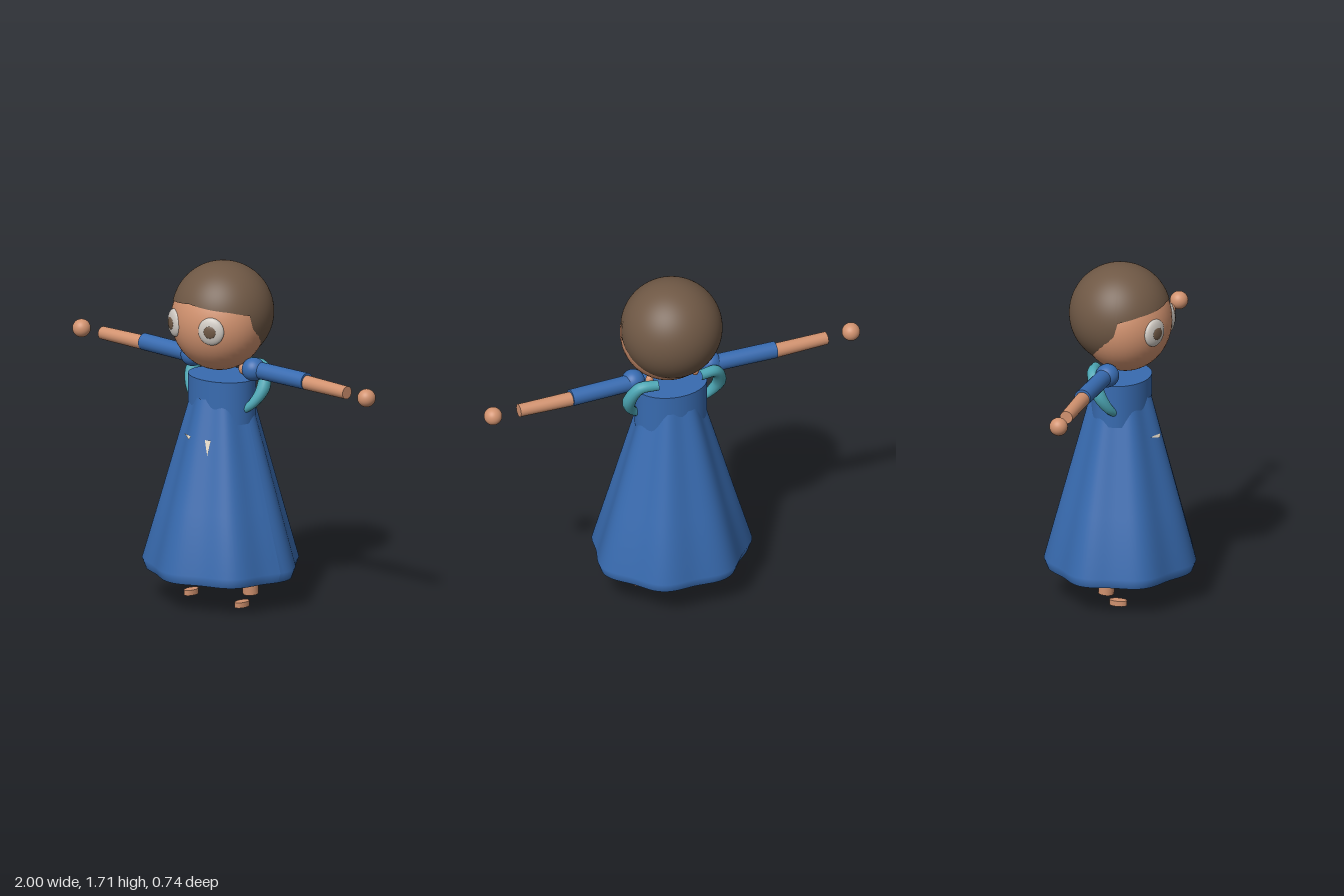
import * as THREE from 'three';

const mat = (name, color, side = THREE.FrontSide) => {
  const m = new THREE.MeshStandardMaterial({ color, side });
  m.name = name;
  return m;
};

// Rod between two points with its own end radii
function rod(a, b, ra, rb, material, seg = 24) {
  const A = new THREE.Vector3(...a), B = new THREE.Vector3(...b);
  const d = B.clone().sub(A);
  const mesh = new THREE.Mesh(new THREE.CylinderGeometry(rb, ra, d.length(), seg), material);
  mesh.position.copy(A).add(B).multiplyScalar(0.5);
  mesh.quaternion.setFromUnitVectors(new THREE.Vector3(0, 1, 0), d.normalize());
  return mesh;
}

function ball(r, pos, material, scale = [1, 1, 1]) {
  const mesh = new THREE.Mesh(new THREE.SphereGeometry(r, 40, 28), material);
  mesh.position.set(...pos);
  mesh.scale.set(...scale);
  return mesh;
}

// Hair cap: a sphere whose lower edge follows a hairline (degrees from front, height)
function hairGeometry(R, cy) {
  const line = [[0, 1.535], [50, 1.51], [76, 1.485], [80, 1.4], [95, 1.31], [130, 1.26], [180, 1.23]];
  const hairline = (deg) => {
    let i = 1;
    while (i < line.length - 1 && deg > line[i][0]) i++;
    const [a0, y0] = line[i - 1], [a1, y1] = line[i];
    return y0 + (y1 - y0) * (deg - a0) / (a1 - a0);
  };
  const g = new THREE.SphereGeometry(R, 96, 40);
  const p = g.attributes.position, uv = g.attributes.uv, n = g.attributes.normal;
  for (let i = 0; i < p.count; i++) {
    const a = Math.round(i % 97) / 96 * Math.PI * 2;
    const deg = Math.abs(a > Math.PI ? a - 2 * Math.PI : a) * 180 / Math.PI;
    const t = (1 - uv.getY(i)) * Math.acos((hairline(deg) - cy) / R);
    const v = new THREE.Vector3(Math.sin(t) * Math.sin(a), Math.cos(t), Math.sin(t) * Math.cos(a));
    n.setXYZ(i, v.x, v.y, v.z);
    p.setXYZ(i, v.x * R, v.y * R, v.z * R);
  }
  // Close the bottom pole row, which the sphere leaves without a second triangle
  const idx = Array.from(g.index.array);
  for (let i = 0; i < 96; i++) idx.push(38 * 97 + i + 1 + 97, 39 * 97 + i, 40 * 97 + i + 1);
  const last = 39 * 97;
  for (let i = 0; i < 96; i++) idx.push(last + i, last + 97 + i, last + 97 + i + 1);
  g.setIndex(idx);
  return g;
}

// Pleated skirt surface; angle runs from +x towards +z
const skirtRows = [[1.04, 0.148, 0.145], [0.8, 0.217, 0.207], [0.5, 0.301, 0.286], [0.2, 0.388, 0.364], [0.15, 0.37, 0.345]];
function skirtGeometry() {
  const N = 112, pos = [], idx = [];
  skirtRows.forEach(([y, rx, rz]) => {
    for (let i = 0; i <= N; i++) {
      const a = i / N * Math.PI * 2;
      const k = 1 + 0.04 * Math.cos(7 * (a + 0.19));
      pos.push(rx * k * Math.cos(a), y, rz * k * Math.sin(a) - 0.003);
    }
  });
  for (let j = 0; j < skirtRows.length - 1; j++) {
    for (let i = 0; i < N; i++) {
      const a = j * (N + 1) + i, b = a + N + 1;
      idx.push(a, a + 1, b, a + 1, b + 1, b);
    }
  }
  const g = new THREE.BufferGeometry();
  g.setAttribute('position', new THREE.Float32BufferAttribute(pos, 3));
  g.setIndex(idx);
  g.computeVertexNormals();
  return g;
}

// Tapered tube along a curve
function taperTube(points, radius) {
  const curve = new THREE.CatmullRomCurve3(points.map((p) => new THREE.Vector3(...p)));
  const S = 32, M = 14;
  const g = new THREE.TubeGeometry(curve, S, 1, M);
  const p = g.attributes.position, n = g.attributes.normal;
  for (let i = 0; i < p.count; i++) {
    const u = Math.floor(i / (M + 1)) / S, c = curve.getPointAt(u), r = radius(u);
    p.setXYZ(i, c.x + n.getX(i) * r, c.y + n.getY(i) * r, c.z + n.getZ(i) * r);
  }
  return g;
}

export function createModel() {
  const skin = mat('skin', 0xd1926f);
  const hair = mat('hair brown', 0x6f5845, THREE.DoubleSide);
  const blue = mat('dress blue', 0x386bb0, THREE.DoubleSide);
  const teal = mat('teal', 0x4ca6b4);
  const white = mat('eye white', 0xcfc9c2);
  const cream = mat('cream', 0xe9dcc8, THREE.DoubleSide);

  const model = new THREE.Group();
  const add = (name, mesh) => { mesh.name = name; model.add(mesh); return mesh; };

  // Head
  add('face', ball(1, [0, 1.42, 0.02], skin, [0.243, 0.25, 0.225]));
  add('hair', new THREE.Mesh(hairGeometry(0.25, 1.455), hair)).position.set(0, 1.455, -0.01);

  // Dress
  const bodice = add('bodice', new THREE.Mesh(new THREE.CylinderGeometry(1, 1, 0.215, 64), blue));
  bodice.scale.set(0.183, 1, 0.145);
  bodice.position.set(0, 1.028, -0.003);
  add('skirt', new THREE.Mesh(skirtGeometry(), blue));

  // Small slivers of underdress on the skirt front
  const sliver = (pts) => {
    const g = new THREE.ShapeGeometry(new THREE.Shape(pts.map((p) => new THREE.Vector2(...p))));
    const p = g.attributes.position;
    for (let i = 0; i < p.count; i++) {
      const x = p.getX(i), y = p.getY(i);
      const t = (1.04 - y) / 0.84, rx = 0.148 + 0.24 * t, rz = 0.145 + 0.219 * t;
      const a = Math.acos(x / rx);
      p.setZ(i, rz * Math.sin(a) * (1 + 0.04 * Math.cos(7 * (a + 0.19))) + 0.003);
    }
    g.computeVertexNormals();
    add('underdressSliver', new THREE.Mesh(g, cream));
  };
  sliver([[-0.09, 0.855], [-0.03, 0.84], [-0.015, 0.857]]);
  sliver([[0.06, 0.85], [0.085, 0.775], [0.088, 0.85]]);

  for (const s of [1, -1]) {
    const side = s > 0 ? 'left' : 'right';

    // Eye: flattened ball with a pupil, turned outward
    const eye = new THREE.Group();
    eye.position.set(s * 0.122, 1.415, 0.205);
    eye.rotation.y = s * 0.42;
    const eyeball = ball(0.066, [0, 0, 0], white, [1, 1.05, 0.38]);
    eyeball.name = 'eyeWhite';
    const pupil = ball(0.031, [0, 0, 0.021], hair, [1, 1, 0.25]);
    pupil.name = 'pupil';
    eye.add(eyeball, pupil);
    add(side + 'Eye', eye);

    add(side + 'Earlobe', ball(0.02, [s * 0.122, 1.185, -0.02], skin, [1, 1.5, 1]));

    // Arm
    add(side + 'Shoulder', ball(0.058, [s * 0.205, 1.198, -0.01], blue));
    add(side + 'Sleeve', rod([s * 0.2, 1.196, -0.018], [s * 0.545, 1.196, -0.027], 0.042, 0.042, blue));
    add(side + 'Forearm', rod([s * 0.53, 1.19, -0.027], [s * 0.82, 1.19, -0.022], 0.036, 0.032, skin));
    add(side + 'Hand', ball(0.045, [s * 0.955, 1.19, -0.017], skin));

    // Ribbon loop from the nape round to the front of the bodice
    const loop = taperTube(
      [[s * 0.11, 1.2, -0.1], [s * 0.2, 1.195, -0.085], [s * 0.24, 1.11, -0.045], [s * 0.21, 1.03, -0.005], [s * 0.13, 0.965, 0.025]],
      (u) => 0.034 * (u < 0.5 ? 0.75 + 0.5 * u : 1 - 1.2 * (u - 0.5)));
    add(side + 'Loop', new THREE.Mesh(loop, teal));

    // Leg and foot
    add(side + 'Thigh', rod([s * 0.17, 0.36, 0.0], [s * 0.12, 0.75, 0.0], 0.048, 0.06, skin));
    add(side + 'Shin', rod([s * 0.17, 0.055, -0.027], [s * 0.17, 0.38, 0.0], 0.039, 0.042, skin));
    const foot = add(side + 'Foot', new THREE.Mesh(new THREE.CylinderGeometry(0.5, 0.5, 1, 12), skin));
    foot.scale.set(0.052, 0.027, 0.09);
    foot.position.set(s * 0.17, 0.0135, 0.035);
  }

  return model;
}
